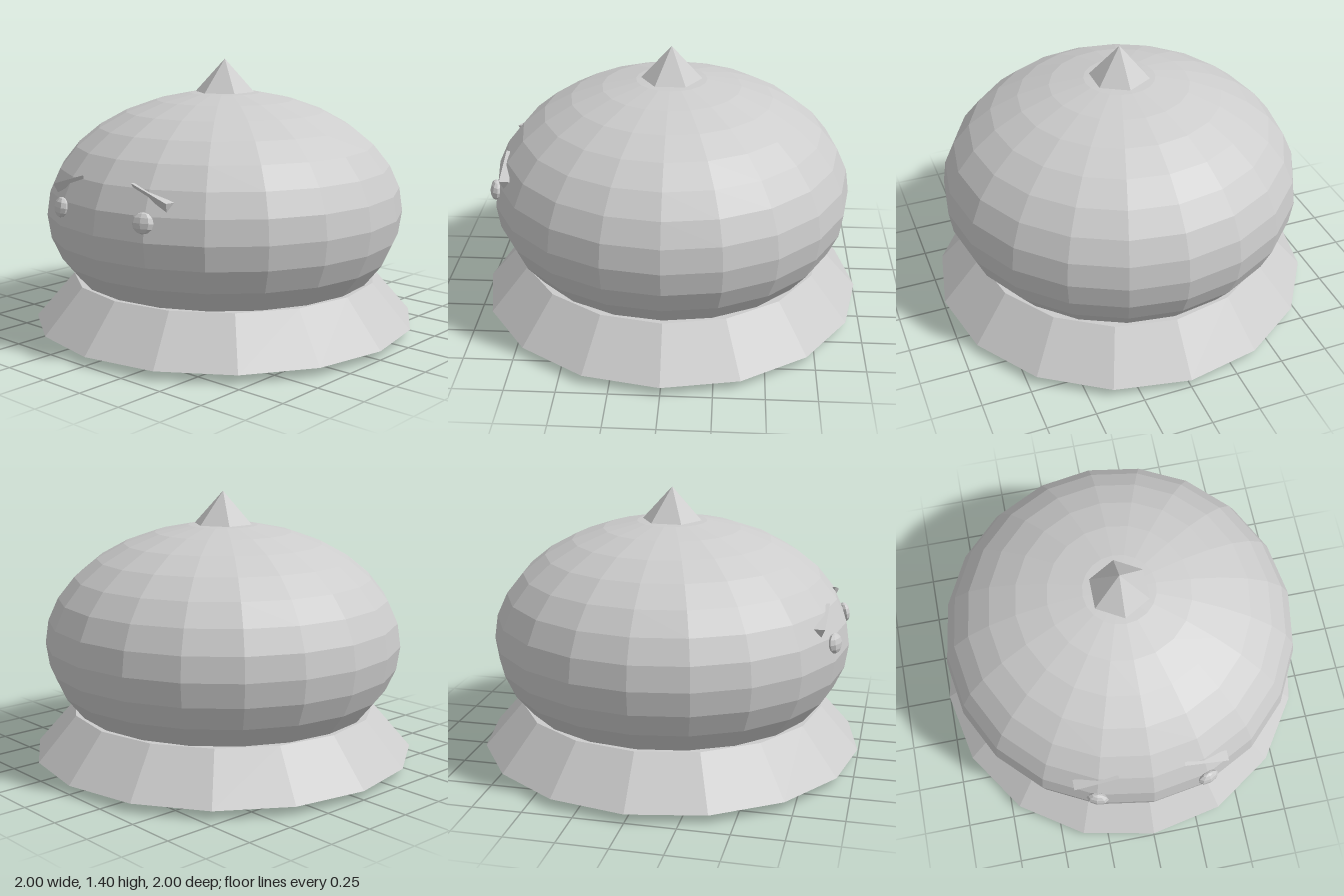
import * as THREE from 'three';

export function createModel() {
  const model = new THREE.Group();
  model.name = 'roundCreature';
  const grey = new THREE.MeshStandardMaterial({ color: 0xcccccc });
  grey.name = 'lightGrey';

  // Unshared vertices give every facet its own normal
  function addPart(name, geometry, parent = model) {
    const flat = geometry.index ? geometry.toNonIndexed() : geometry;
    flat.computeVertexNormals();
    const mesh = new THREE.Mesh(flat, grey);
    mesh.name = name;
    parent.add(mesh);
    return mesh;
  }

  // Squashed round body
  const body = addPart('body', new THREE.SphereGeometry(1, 20, 16));
  body.scale.set(0.93, 0.62, 0.93);
  body.position.y = 0.62;

  // Flared base skirt
  addPart('skirt', new THREE.CylinderGeometry(0.8, 1, 0.23, 16)).position.y = 0.16;

  // Six-sided spike on the crown
  addPart('spike', new THREE.ConeGeometry(0.155, 0.17, 6)).position.y = 1.317;

  // Tapered three-sided brow: outer and inner end triangles joined by sides
  function browGeometry() {
    const outer = [[0.39, 0.81, 0.838], [0.377, 0.766, 0.82], [0.39, 0.808, 0.784]];
    const inner = [[0.165, 0.878, 0.838], [0.17, 0.86, 0.831], [0.166, 0.877, 0.82]];
    const points = [...outer, inner[0], inner[2], inner[1]];
    for (let i = 0; i < 3; i++) {
      const j = (i + 1) % 3;
      points.push(outer[j], outer[i], inner[i], outer[j], inner[i], inner[j]);
    }
    const geometry = new THREE.BufferGeometry();
    geometry.setAttribute('position', new THREE.Float32BufferAttribute(points.flat(), 3));
    return geometry;
  }

  // Eye and brow, mirrored to both sides
  for (const [side, sign] of [['left', 1], ['right', -1]]) {
    const face = new THREE.Group();
    face.name = side + 'FaceSide';
    face.scale.x = sign;
    model.add(face);

    const eye = addPart(side + 'Eye', new THREE.SphereGeometry(1, 8, 6), face);
    eye.scale.set(0.056, 0.051, 0.028);
    eye.rotation.set(-0.15, 0.31, 0, 'YXZ');
    eye.position.set(0.283, 0.713, 0.88);

    addPart(side + 'Brow', browGeometry(), face);
  }
  return model;
}
